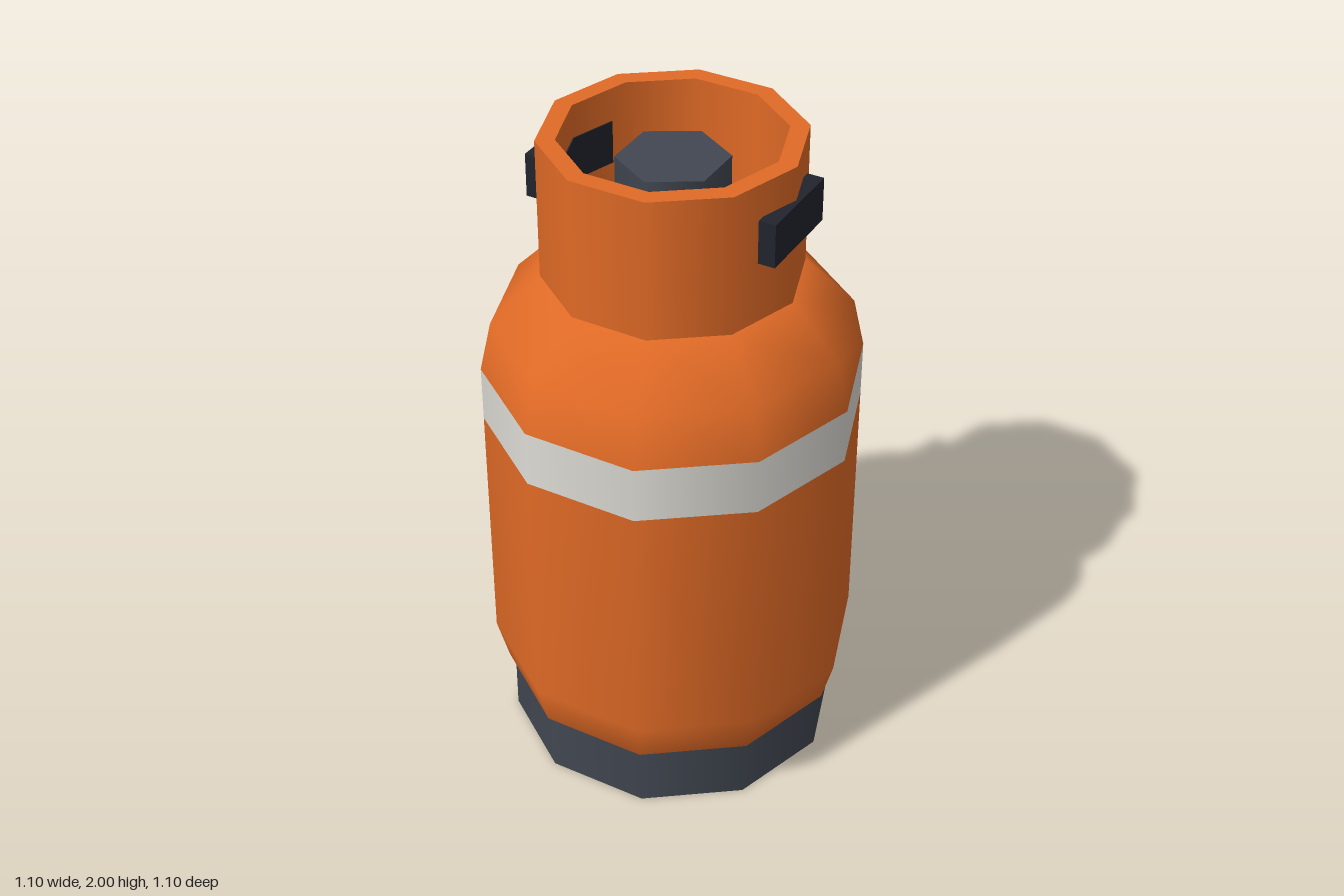
import * as THREE from 'three';

const material = (name, color) => Object.assign(new THREE.MeshStandardMaterial({ color }), { name });

export function createModel() {
  const orange = material('orange paint', 0xe06a26);
  const white = material('off white', 0xdddbd4);
  const grey = material('slate grey', 0x414751);
  const dark = material('dark rubber', 0x22242e);
  const red = material('warning red', 0xa8282c);
  const brass = material('brass', 0xb8964e);

  const model = new THREE.Group();
  const bottle = new THREE.Group();
  bottle.name = 'bottle';
  bottle.position.z = 0.027;
  model.add(bottle);

  const add = (name, geometry, mat, x = 0, y = 0, z = 0, parent = bottle) => {
    const mesh = new THREE.Mesh(geometry, mat);
    mesh.name = name;
    mesh.position.set(x, y, z);
    parent.add(mesh);
    return mesh;
  };

  // Ten-sided turned shell with corners on the x axis
  const turned = (points) => new THREE.LatheGeometry(
    points.map(([r, y]) => new THREE.Vector2(r, y)), 10, Math.PI / 2);

  // Thick-walled ring; doubled points keep its edges sharp
  const ring = (outer, inner, y0, y1) => turned([
    [outer, y0], [outer, y1], [outer, y1], [inner, y1], [inner, y1],
    [inner, y0], [inner, y0], [outer, y0],
  ]);

  // Tank shell, in three bands of colour
  add('tankBody', turned([[0, 0.15], [0.48, 0.17], [0.48, 0.17], [0.513, 0.2], [0.548, 0.33], [0.548, 1.11]]), orange);
  add('stripe', turned([[0.548, 1.11], [0.548, 1.28]]), white);
  add('shoulder', turned([[0.548, 1.28], [0.515, 1.43], [0.37, 1.58], [0, 1.62]]), orange);

  // Foot ring and collar
  add('footRing', ring(0.495, 0.44, 0, 0.188), grey);
  add('collar', ring(0.37, 0.315, 1.575, 2), orange);

  // Grips on both sides, with their inner faces showing inside the collar
  for (const side of [-1, 1]) {
    add('grip', new THREE.BoxGeometry(0.05, 0.13, 0.28), dark, side * 0.357, 1.835, 0);
    for (const end of [-1, 1]) {
      const angle = Math.PI / 10;
      const half = 0.07;
      const plate = add('gripInnerFace', new THREE.BoxGeometry(0.006, 0.13, 0.142), dark,
        side * (0.3145 - half * Math.sin(angle)), 1.835, end * half * Math.cos(angle));
      plate.rotation.y = -side * end * angle;
    }
  }

  // Valve: stem, hexagonal knob and rear outlet
  add('valveStem', new THREE.CylinderGeometry(0.07, 0.07, 0.24, 8), brass, 0, 1.7, 0);
  add('valveKnob', new THREE.CylinderGeometry(0.158, 0.158, 0.12, 6), grey, 0, 1.87, 0);
  const outlet = new THREE.CylinderGeometry(0.045, 0.045, 0.232, 5).toNonIndexed();
  outlet.computeVertexNormals();
  outlet.rotateX(-Math.PI / 2);
  add('valveOutlet', outlet, brass, 0, 1.72, -0.116);

  // Diamond warning sign behind the tank
  const sign = add('warningSign', new THREE.BoxGeometry(0.431, 0.431, 0.025), white, 0, 0.865, -0.525, model);
  sign.rotation.z = Math.PI / 4;

  // Flame emblem on the back of the sign
  const flame = new THREE.Shape([
    [0.1, 0.75], [-0.103, 0.75], [-0.126, 0.95], [-0.05, 0.89],
    [0, 1.03], [0.047, 0.87], [0.126, 0.88],
  ].map(([x, y]) => new THREE.Vector2(x, y)));
  add('flame', new THREE.ExtrudeGeometry(flame, { depth: 0.0095, bevelEnabled: false }), red, 0, 0, -0.55, model);
  add('flameBacking', new THREE.ExtrudeGeometry(flame, { depth: 0.004, bevelEnabled: false }), red, 0, 0, -0.541, model);

  return model;
}
